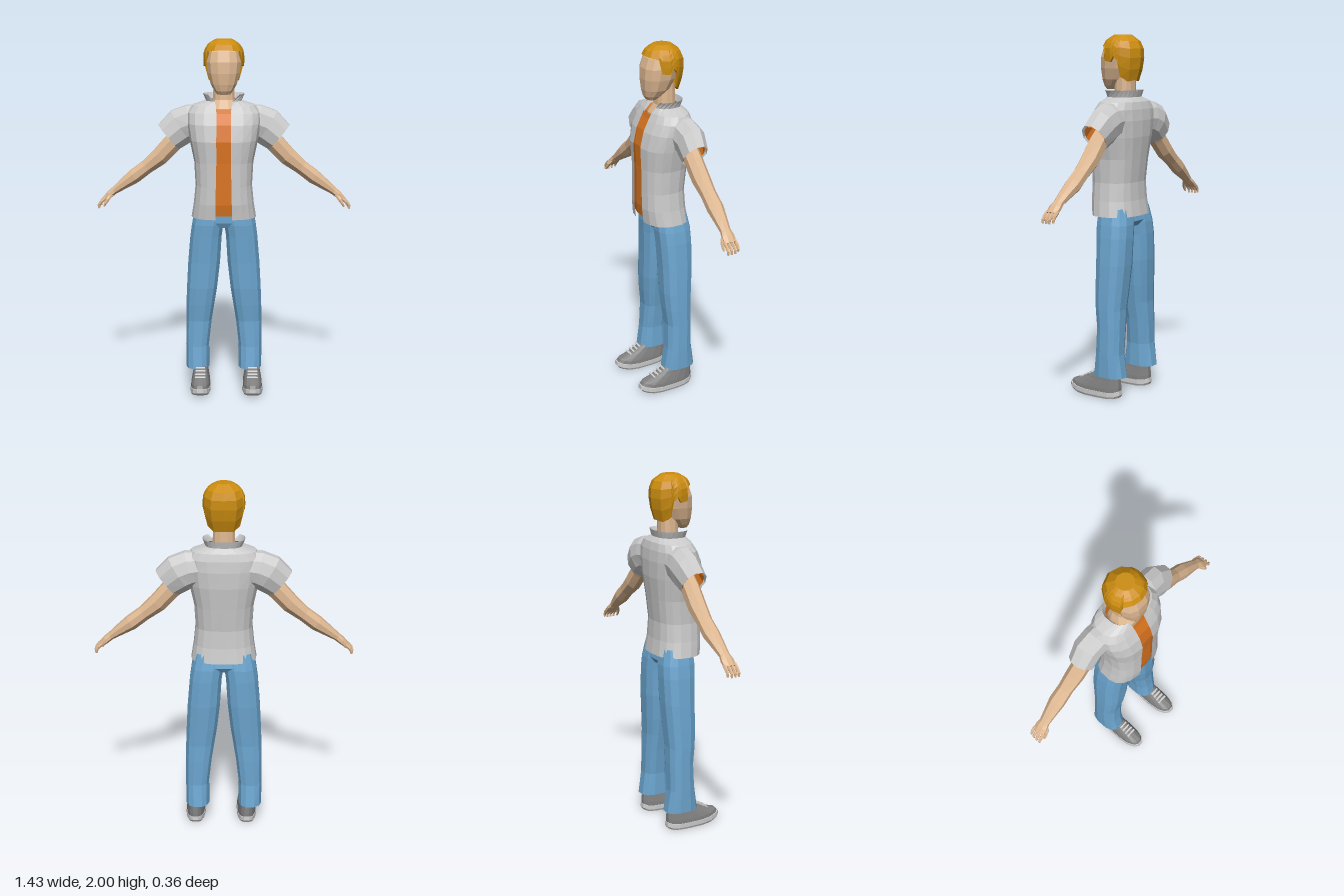
import * as THREE from 'three';

const mat = (color) => new THREE.MeshStandardMaterial({ color, flatShading: true, side: THREE.DoubleSide });
const V = (x, y, z) => new THREE.Vector3(x, y, z);
const pw = (v, p) => Math.sign(v) * Math.abs(v) ** p;

// Skin a surface over a list of cross-section loops
function loft(rings, { closed = true, start = false, end = false } = {}) {
  const n = rings[0].length, pos = [], idx = [];
  rings.forEach((r) => r.forEach((q) => pos.push(q.x, q.y, q.z)));
  for (let i = 0; i < rings.length - 1; i++)
    for (let j = 0; j < (closed ? n : n - 1); j++) {
      const a = i * n + j, b = i * n + (j + 1) % n;
      idx.push(a, a + n, b, b, a + n, b + n);
    }
  const cap = (k, flip) => {
    const c = V(0, 0, 0);
    rings[k].forEach((q) => c.addScaledVector(q, 1 / n));
    const m = pos.push(c.x, c.y, c.z) / 3 - 1;
    for (let j = 0; j < n; j++) {
      const a = k * n + j, b = k * n + (j + 1) % n;
      idx.push(m, flip ? b : a, flip ? a : b);
    }
  };
  if (start) cap(0, false);
  if (end) cap(rings.length - 1, true);
  const g = new THREE.BufferGeometry();
  g.setAttribute('position', new THREE.Float32BufferAttribute(pos, 3));
  g.setIndex(idx);
  g.computeVertexNormals();
  return g;
}

// Horizontal rounded loop; a gap leaves it open at the front
function oval(y, hw, zf, zb, { cx = 0, n = 12, p = 0.8, gap = 0 } = {}) {
  const d = gap ? Math.acos(1) + Math.asin((gap / hw) ** (1 / p)) : Math.PI / n;
  const span = gap ? 2 * Math.PI - 2 * d : 2 * Math.PI, out = [];
  for (let j = 0; j < (gap ? n + 1 : n); j++) {
    const a = Math.PI / 2 + d + (span * j) / n;
    out.push(V(cx + hw * pw(Math.cos(a), p), y, (zf + zb) / 2 + ((zf - zb) / 2) * pw(Math.sin(a), p)));
  }
  return out;
}

// Tube through rows of [x, y, z, thickness radius, z radius], mirrored by side s
function limb(rows, s, n = 8, caps = {}) {
  const c = rows.map((r) => V(s * r[0], r[1], r[2]));
  return loft(rows.map((r, i) => {
    const d = c[Math.min(i + 1, c.length - 1)].clone().sub(c[Math.max(i - 1, 0)]);
    d.z = 0;
    const u = d.normalize().cross(V(0, 0, 1));
    return Array.from({ length: n }, (_, j) => {
      const a = ((j + 0.5) / n) * 2 * Math.PI;
      return c[i].clone().addScaledVector(u, r[3] * Math.cos(a)).add(V(0, 0, r[4] * Math.sin(a)));
    });
  }), caps);
}

// Linear lookup in [x, value] pairs
function lookup(t, x) {
  for (let i = 1; i < t.length; i++)
    if (x <= t[i][0]) return THREE.MathUtils.mapLinear(Math.max(x, t[0][0]), t[i - 1][0], t[i][0], t[i - 1][1], t[i][1]);
  return t[t.length - 1][1];
}

export function createModel() {
  const root = new THREE.Group();
  const skin = mat(0xddb791), denim = mat(0x6ca6d0), cloth = mat(0xcccccc);
  const orange = mat(0xd9741f), hairMat = mat(0xcc8d10), shoeMat = mat(0x808080);
  const add = (name, geo, m, parent = root) => {
    const mesh = new THREE.Mesh(geo, m);
    mesh.name = name;
    parent.add(mesh);
    return mesh;
  };

  // Head and neck: y, half width, front z, back z
  add('head', loft([
    [1.705, 0.036, 0.045, -0.005], [1.725, 0.052, 0.058, -0.035], [1.76, 0.073, 0.066, -0.08],
    [1.82, 0.09, 0.072, -0.115], [1.88, 0.097, 0.069, -0.13], [1.935, 0.088, 0.05, -0.13], [1.965, 0.05, 0.02, -0.1],
  ].map((r) => oval(...r)), { start: true, end: true }), skin);
  add('neck', loft([
    [1.59, 0.085, 0.026, -0.14], [1.625, 0.08, 0.024, -0.135], [1.67, 0.062, -0.01, -0.12], [1.79, 0.058, -0.02, -0.115],
  ].map((r) => oval(...r))), skin);

  // Hair: columns of [angle from front, lower edge height]
  const edge = [[0, 1.945], [0.5, 1.942], [0.95, 1.935], [1.1, 1.86], [1.5, 1.855], [1.68, 1.885], [1.88, 1.86],
    [2.0, 1.775], [2.5, 1.75], [Math.PI, 1.758]];
  const swell = [[1.74, 0.72], [1.8, 0.9], [1.87, 1], [1.935, 0.97], [1.975, 0.78], [2, 0.42]];
  const columns = [...edge, ...edge.slice(1, -1).reverse().map(([a, y]) => [2 * Math.PI - a, y])];
  const hairRow = (t, k) => columns.map(([a, low]) => {
    const y = THREE.MathUtils.lerp(low, 2, t), r = k * lookup(swell, y);
    return V(-0.114 * r * Math.sin(a), y, -0.05 + 0.118 * r * Math.cos(a));
  });
  add('hair', loft([hairRow(0, 0.88), ...[0, 0.25, 0.5, 0.7, 0.86, 1].map((t) => hairRow(t, 1))], { end: true }), hairMat);

  // Open shirt: y, half width, front z, back z, half gap
  const torso = [
    [1.015, 0.182, 0.09, -0.17, 0.045], [1.1, 0.168, 0.1, -0.157, 0.045], [1.2, 0.158, 0.1, -0.152, 0.043],
    [1.33, 0.165, 0.1, -0.166, 0.04], [1.45, 0.19, 0.105, -0.18, 0.04], [1.54, 0.205, 0.085, -0.182, 0.04],
    [1.6, 0.205, 0.056, -0.176, 0.04], [1.64, 0.175, 0.035, -0.165, 0.042],
  ];
  const collar = [[1.665, 0.1, 0.02, -0.14, 0.05], [1.702, 0.115, 0.03, -0.15, 0.085]];
  const openRing = ([y, w, f, b, gap]) => oval(y, w, f, b, { n: 18, p: 0.78, gap });
  add('shirtBody', loft([...torso, collar[0]].map(openRing), { closed: false }), cloth);
  add('shirtCollar', loft(collar.map(openRing), { closed: false }), cloth);

  // Undershirt follows the shirt just inside it
  add('undershirt', loft([...torso.slice(0, 7), [1.625, 0.175, 0.048, -0.16]].map(([y, w, f, b]) =>
    oval(Math.max(y, 1.035), w - 0.012, f - 0.012, b + 0.012, { n: 16, p: 0.78 }))), orange);

  // Pelvis
  add('jeansHips', loft([
    [0.955, 0.1, 0.015, -0.14], [0.985, 0.17, 0.03, -0.16], [1.08, 0.15, 0.03, -0.14],
  ].map((r) => oval(...r, { p: 0.7 })), { start: true, end: true }), denim);

  for (const s of [1, -1]) {
    const side = s > 0 ? 'left' : 'right';

    // Sleeve with undershirt sleeve inside
    const sleeve = [[0.12, 1.545, -0.08, 0.095, 0.08], [0.185, 1.537, -0.085, 0.105, 0.08],
      [0.24, 1.515, -0.09, 0.108, 0.078], [0.308, 1.458, -0.08, 0.094, 0.069]];
    add(side + 'Sleeve', limb(sleeve, s, 10), cloth);
    add(side + 'UndershirtSleeve', limb(sleeve.map(([x, y, z, a, b]) =>
      [x - 0.008, y + 0.002, z, a - 0.012, b - 0.01]), s, 10), orange);

    // Arm and palm
    add(side + 'Arm', limb([
      [0.2, 1.5, -0.085, 0.055, 0.05], [0.29, 1.42, -0.085, 0.056, 0.05], [0.36, 1.345, -0.088, 0.053, 0.05],
      [0.435, 1.285, -0.09, 0.042, 0.043], [0.505, 1.232, -0.09, 0.043, 0.046], [0.575, 1.183, -0.086, 0.031, 0.036],
      [0.62, 1.15, -0.083, 0.022, 0.03], [0.645, 1.13, -0.082, 0.021, 0.038], [0.675, 1.102, -0.081, 0.015, 0.038],
    ], s, 8, { end: true }), skin);

    // Fingers and thumb
    for (let k = 0; k < 4; k++) {
      const z = -0.112 + k * 0.021, e = k === 0 ? -0.006 : 0;
      add(side + 'Finger', limb([[0.665, 1.112, z, 0.011, 0.009], [0.69, 1.092, z, 0.011, 0.009],
        [0.706 + e, 1.074, z, 0.009, 0.008], [0.706 + e, 1.054 - e, z, 0.006, 0.006]], s, 6, { end: true }), skin);
    }
    add(side + 'Thumb', limb([[0.632, 1.135, -0.062, 0.013, 0.012], [0.652, 1.108, -0.044, 0.012, 0.01],
      [0.668, 1.083, -0.04, 0.009, 0.008], [0.676, 1.066, -0.042, 0.005, 0.005]], s, 6, { end: true }), skin);

    // Trouser leg: y, inner x, outer x, front z, back z
    add(side + 'JeansLeg', loft([
      [0.12, 0.083, 0.218, 0.025, -0.17], [0.25, 0.085, 0.22, 0.006, -0.15], [0.4, 0.068, 0.218, 0, -0.15],
      [0.5, 0.052, 0.217, 0.012, -0.148], [0.6, 0.036, 0.213, 0.02, -0.155], [0.75, 0.019, 0.205, 0.022, -0.165],
      [0.9, 0.01, 0.192, 0.03, -0.168], [0.97, 0, 0.182, 0.035, -0.165], [1.06, -0.01, 0.163, 0.03, -0.148],
    ].map(([y, a, b, f, k]) => oval(y, (b - a) / 2, f, k, { cx: s * (a + b) / 2, n: 12, p: 0.75 }))), denim);

    // Shoe, with toe and heel curling up
    const shoe = new THREE.Group();
    shoe.name = side + 'Shoe';
    shoe.position.x = s > 0 ? 0.165 : -0.133;
    root.add(shoe);
    const shoeLoft = (rows) => loft(rows.map((r) => oval(...r, { n: 16, p: 0.8 }).map((q) => {
      q.x *= 0.93 + 0.4 * Math.max(0, q.z);
      q.y += 1.5 * Math.max(0, q.z - 0.06) ** 2 + 4 * Math.max(0, -0.1 - q.z) ** 2;
      return q;
    })), { start: true, end: true });
    add('sole', shoeLoft([[0, 0.056, 0.17, -0.145], [0.012, 0.062, 0.185, -0.155], [0.036, 0.062, 0.183, -0.153]]), cloth);
    add('shoeUpper', shoeLoft([[0.034, 0.059, 0.178, -0.15], [0.056, 0.057, 0.166, -0.15], [0.078, 0.052, 0.128, -0.148],
      [0.104, 0.046, 0.075, -0.145], [0.135, 0.041, 0.02, -0.14], [0.16, 0.038, 0, -0.13]]), shoeMat);
    for (let k = 0; k < 4; k++) {
      const lace = add('lace', new THREE.BoxGeometry(0.062 - k * 0.003, 0.007, 0.011), cloth, shoe);
      lace.position.set(0, 0.097 + k * 0.0115, 0.098 - k * 0.021);
      lace.rotation.x = 0.5;
    }
    // Move sole and upper into the shoe group
    root.children.filter((c) => c.name === 'sole' || c.name === 'shoeUpper').forEach((c) => shoe.add(c));
  }
  return root;
}
